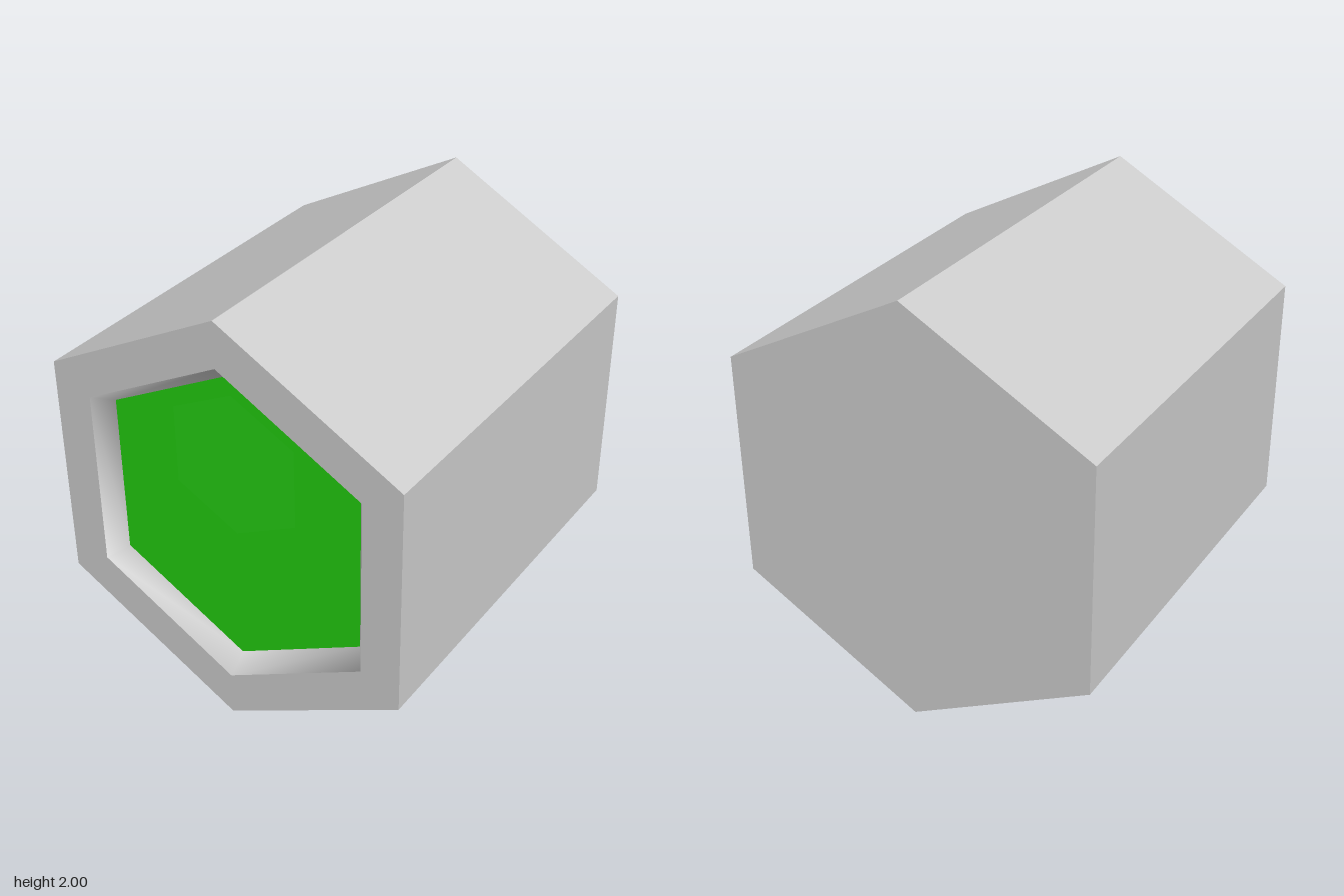
import * as THREE from 'three';

const grey = new THREE.MeshStandardMaterial({ color: 0xcccccc });
grey.name = 'light grey';
const green = new THREE.MeshStandardMaterial({ color: 0x22cc10 });
green.name = 'green';
const paleGreen = new THREE.MeshStandardMaterial({ color: 0x25ce14 });
paleGreen.name = 'pale green';

const FRONT = 0.915, BACK = -0.915, FLOOR = 0.825;

// Upright hexagon, counter-clockwise from the front: half width, half height, half side
function hexagon(w, h, s, cy = 1) {
  return [[w, -s], [w, s], [0, h], [-w, s], [-w, -s], [0, -h]]
    .map(([x, y]) => new THREE.Vector2(x, y + cy));
}

// Flat face facing the front, with an optional hole
function face(ring, z, hole) {
  const shape = new THREE.Shape(ring);
  if (hole) shape.holes.push(new THREE.Path(hole));
  return new THREE.ShapeGeometry(shape).translate(0, 0, z);
}

// Band of quads between two rings; outward when running from back to front
function band(ringA, zA, ringB, zB, smooth) {
  const n = ringA.length, pos = [], index = [];
  ringA.forEach((p) => pos.push(p.x, p.y, zA));
  ringB.forEach((p) => pos.push(p.x, p.y, zB));
  for (let i = 0; i < n; i++) {
    const j = (i + 1) % n;
    index.push(i, j, n + j, i, n + j, n + i);
  }
  let geo = new THREE.BufferGeometry();
  geo.setAttribute('position', new THREE.Float32BufferAttribute(pos, 3));
  geo.setIndex(index);
  if (!smooth) geo = geo.toNonIndexed();
  geo.computeVertexNormals();
  return geo;
}

export function createModel() {
  const group = new THREE.Group();
  const add = (name, geometry, material) => {
    const mesh = new THREE.Mesh(geometry, material);
    mesh.name = name;
    group.add(mesh);
  };

  const outer = hexagon(0.862, 1, 0.537);
  const opening = hexagon(0.677, 0.788, 0.423);
  const floor = hexagon(0.616, 0.714, 0.385);
  const spot = hexagon(0.3, 0.34, 0.185, 1.28);

  // Hexagonal casing
  add('casingSides', band(outer, BACK, outer, FRONT, false), grey);
  add('casingBack', face(outer, FRONT).rotateY(Math.PI), grey);
  add('frontRim', face(outer, FRONT, opening), grey);

  // Tapered, softly shaded recess
  add('recessWall', band(opening, FRONT, floor, FLOOR, true), grey);

  // Lens with a faint paler patch
  add('lens', face(floor, FLOOR, spot), green);
  add('lensPatch', face(spot, FLOOR), paleGreen);
  return group;
}
